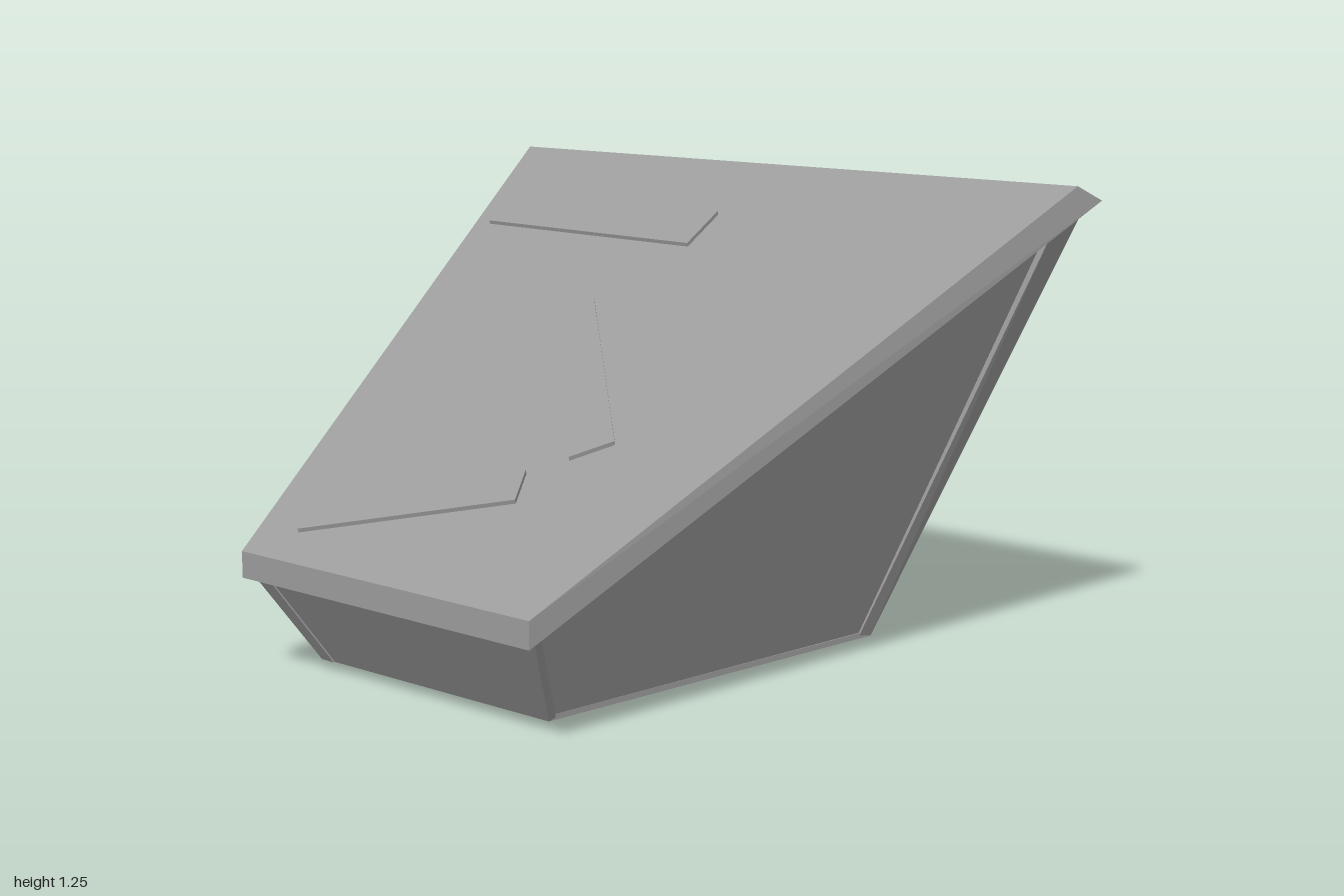
import * as THREE from 'three';
import { ConvexGeometry } from 'three/addons/geometries/ConvexGeometry.js';

const grey = new THREE.MeshStandardMaterial({ color: 0x9b9b9b, side: THREE.DoubleSide });
const V = (x, y, z) => new THREE.Vector3(x, y, z);

export function createModel() {
  const model = new THREE.Group();
  const add = (name, geometry) => {
    const mesh = new THREE.Mesh(geometry, grey);
    mesh.name = name;
    model.add(mesh);
    return mesh;
  };
  // Flat-sided solid from its corner points
  const solid = (name, pts) => add(name, new ConvexGeometry(pts.map(p => V(...p))));
  // Solid between a set of corners and the same corners moved by an offset
  const slab = (name, pts, [dx, dy, dz]) =>
    solid(name, [...pts, ...pts.map(([x, y, z]) => [x + dx, y + dy, z + dz])]);
  // Board between two points, its broad face towards `normal`
  const board = (name, a, b, width, thick, normal) => {
    const along = b.clone().sub(a).normalize();
    const across = V(0, 0, 0).crossVectors(normal, along).normalize();
    const out = V(0, 0, 0).crossVectors(along, across);
    const mesh = add(name, new THREE.BoxGeometry(a.distanceTo(b), width, thick));
    mesh.applyMatrix4(new THREE.Matrix4().makeBasis(along, across, out)
      .setPosition(a.clone().add(b).multiplyScalar(0.5)));
  };
  // Round body turned around the line from a to b; profile is [radius, fraction of length]
  const turned = (name, a, b, profile, sides) => {
    const len = a.distanceTo(b);
    const mesh = add(name, new THREE.LatheGeometry(
      profile.map(([r, t]) => new THREE.Vector2(r, t * len)), sides));
    mesh.position.copy(a);
    mesh.quaternion.setFromUnitVectors(V(0, 1, 0), b.clone().sub(a).normalize());
  };

  // Sloping roof
  solid('roof', [
    [-0.52, 0.33, 0.88], [0.5, 0.33, 0.88], [-0.52, 0.26, 0.88], [0.5, 0.26, 0.88],
    [-0.97, 1.25, -0.66], [0.97, 1.25, -0.66], [-1, 1.21, -0.73], [1, 1.21, -0.73]]);

  // Planks nailed on the roof
  const roofY = z => 0.33 + (0.88 - z) * 0.597;
  [
    [[-0.82, -0.46], [-0.045, -0.45], [-0.045, -0.32], [-0.815, -0.33]],
    [[-0.18, -0.09], [0.3, 0.36], [0.21, 0.43], [-0.275, -0.01]],
    [[0.12, 0.49], [0.17, 0.58], [-0.4, 0.79], [-0.455, 0.72]],
  ].forEach(q => slab('roofPlank', q.map(([x, z]) => [x, roofY(z) - 0.01, z]), [0, 0.019, 0.005]));

  // Floor and front wall
  slab('floor', [[-0.39, 0.025, 0.7], [0.39, 0.025, 0.7], [-0.53, 0.035, -0.4], [0.53, 0.035, -0.4]], [0, 0.015, 0]);
  slab('frontWall', [[-0.39, 0.025, 0.7], [0.39, 0.025, 0.7], [-0.495, 0.28, 0.86], [0.495, 0.28, 0.86]], [0, 0, -0.025]);

  for (const s of [-1, 1]) {
    // Flat side wall and back post
    slab('sideWall', [[s * 0.385, 0.025, 0.7], [s * 0.52, 0.035, -0.39],
      [s * 0.955, 1.19, -0.69], [s * 0.457, 0.28, 0.84]], [-s * 0.02, 0, 0]);
    slab('backPost', [[s * 0.53, 0.035, -0.405], [s * 0.522, 0.035, -0.36],
      [s * 0.965, 1.19, -0.7], [s * 0.94, 1.13, -0.59]], [-s * 0.09, 0, 0]);
  }
  // Trim on one front corner
  slab('frontTrim', [[-0.42, 0.025, 0.705], [-0.375, 0.025, 0.705],
    [-0.51, 0.28, 0.865], [-0.455, 0.28, 0.865]], [0, 0, -0.03]);

  // Boards across the top of the open back
  const backPoint = (x, y) => V(x, y, -0.415 - 0.26 * (y - 0.04));
  const bends = [[0.83, 0.97], [0.36, 1.125], [-0.41, 1.115], [-0.86, 0.98]].map(p => backPoint(...p));
  for (let i = 0; i < 3; i++)
    board('backBoard', bends[i], bends[i + 1], 0.1, 0.025, V(0, -0.25, -1));

  // Leaning barrel: upright lathe sheared backwards, its rings tipped with height
  const barrelPart = (name, pts) => {
    const geometry = new THREE.LatheGeometry(pts.map(p => new THREE.Vector2(...p)), 8);
    const p = geometry.attributes.position;
    for (let i = 0; i < p.count; i++) {
      const x = p.getX(i), y = p.getY(i), z = p.getZ(i);
      const bow = 0.08 * y * (0.68 - y);
      p.setXYZ(i, x + 0.185 + 0.13 * y, y - z * 0.19 * Math.min(1, y / 0.3), z - 0.515 - 0.3 * y - bow);
    }
    geometry.computeVertexNormals();
    add(name, geometry);
  };
  barrelPart('barrel', [[0.103, 0], [0.15, 0.14], [0.178, 0.28], [0.187, 0.38], [0.182, 0.5], [0.15, 0.67]]);
  barrelPart('barrelBottom', [[0, 0], [0.103, 0]]);
  barrelPart('barrelTop', [[0.145, 0.665], [0, 0.665]]);
  barrelPart('barrelBand', [[0.178, 0.305], [0.19, 0.305], [0.193, 0.342], [0.18, 0.342]]);
  barrelPart('barrelRim', [[0.15, 0.66], [0.163, 0.66], [0.161, 0.685], [0.142, 0.685], [0.142, 0.66]]);

  // Tall bottle leaning on the post and a smaller one lying on its side
  turned('tallBottle', V(-0.525, 0.045, -0.485), V(-0.805, 1.035, -0.77),
    [[0, 0], [0.048, 0], [0.06, 0.06], [0.075, 0.35], [0.083, 0.76], [0.078, 0.81],
      [0.05, 0.85], [0.05, 0.95], [0.032, 1], [0, 1]], 12);
  turned('lyingBottle', V(-0.155, 0.13, -0.2), V(-0.475, 0.155, -0.75),
    [[0, 0], [0.05, 0], [0.07, 0.06], [0.073, 0.7], [0.048, 0.77], [0.046, 0.94], [0.025, 1], [0, 1]], 12);

  // Tipped crate inside and a small shelf by the front wall
  const crate = add('crate', new THREE.BoxGeometry(0.15, 0.17, 0.29));
  crate.position.set(0.25, 0.14, -0.2);
  crate.rotation.x = -0.3;
  const shelf = add('shelf', new THREE.BoxGeometry(0.17, 0.02, 0.18));
  shelf.position.set(0.3, 0.14, 0.6);

  // Loose planks against and beside the right wall
  board('leaningPlank', V(-0.61, 0.05, -0.17), V(-0.82, 0.8, -0.27), 0.07, 0.012, V(-1, 0.27, 0));
  board('groundPlank', V(-0.6, 0.04, -0.07), V(-0.5, 0.04, 0.6), 0.06, 0.012, V(0, 1, 0));
  board('groundPlank', V(-0.57, 0.055, 0), V(-0.54, 0.055, 0.45), 0.05, 0.012, V(0.2, 1, 0));

  return model;
}
